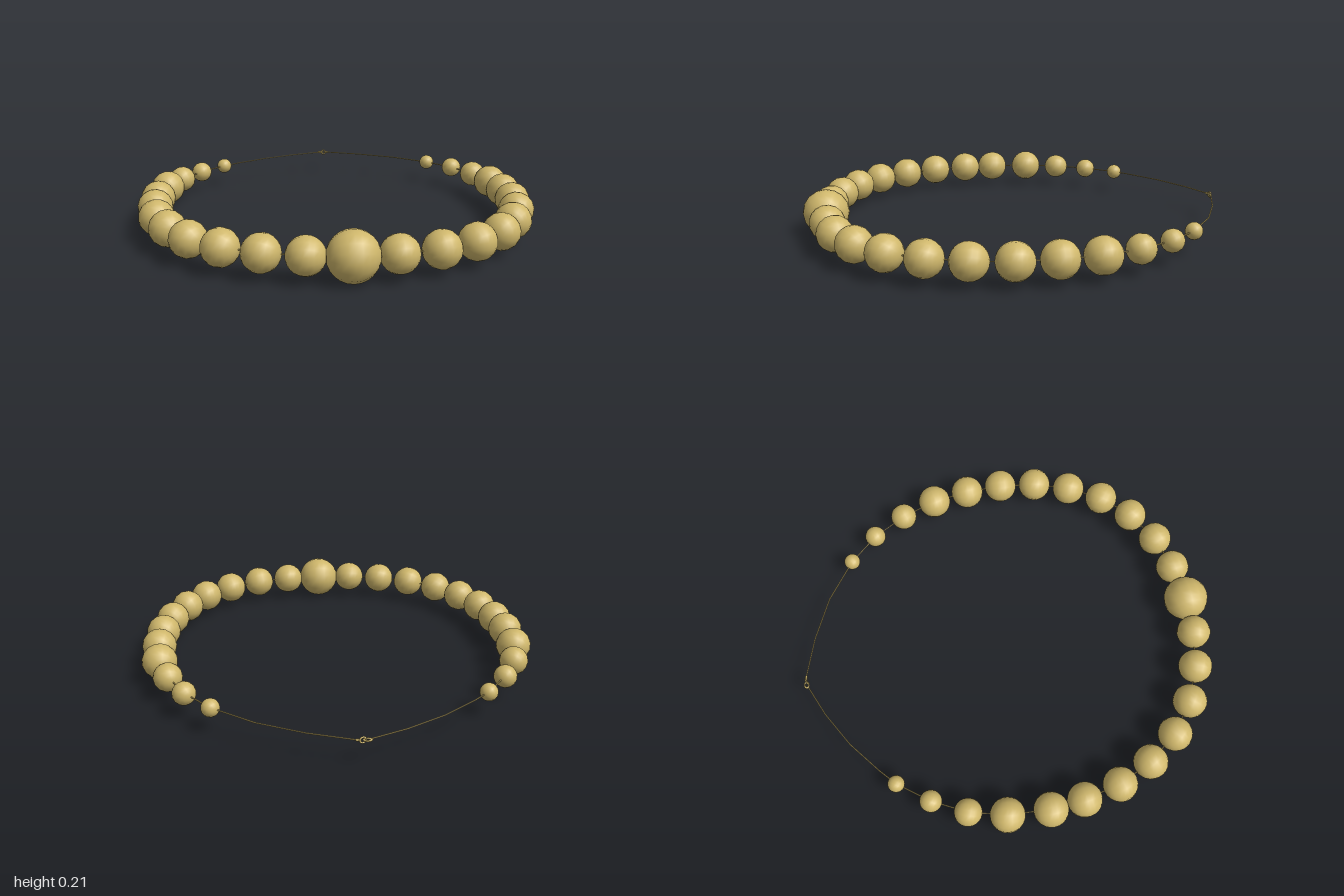
import * as THREE from 'three';

const gold = new THREE.MeshStandardMaterial({ color: 0xcfb76b });
gold.name = 'gold';

const Y = 0.107; // height of the cord

// Bead centres and radii: [x, z, radius], from the front towards the clasp
const R = 0.08;
const leftBeads = [
  [0.196, 0.878, R], [0.365, 0.836, R], [0.522, 0.751, R], [0.65, 0.63, R],
  [0.741, 0.479, R], [0.802, 0.312, R], [0.831, 0.138, R], [0.833, -0.037, R],
  [0.814, -0.212, R], [0.762, -0.381, 0.064], [0.681, -0.54, 0.051], [0.567, -0.676, 0.039],
];
const rightBeads = [
  [-0.16, 0.88, R], [-0.329, 0.837, R], [-0.488, 0.762, R], [-0.624, 0.65, R],
  [-0.725, 0.504, R], [-0.794, 0.342, R], [-0.826, 0.168, R], [-0.836, 0.01, R],
  [-0.818, -0.185, R], [-0.768, -0.355, 0.064], [-0.684, -0.509, 0.051], [-0.574, -0.648, 0.039],
];
const pendantBead = [0.018, 0.894, 0.106];

// Bare cord behind the last beads, up to the clasp
const leftCord = [[0.39, -0.815], [0.2, -0.912], [0.015, -0.98]];
const rightCord = [[-0.5, -0.712], [-0.35, -0.825], [-0.185, -0.916], [-0.035, -0.977]];

const toPoint = ([x, z]) => new THREE.Vector3(x, Y, z);

function add(parent, name, geometry) {
  const mesh = new THREE.Mesh(geometry, gold);
  mesh.name = name;
  parent.add(mesh);
  return mesh;
}

// Straight rod between two points
function rod(parent, name, a, b, radius) {
  const mesh = add(parent, name, new THREE.CylinderGeometry(radius, radius, a.distanceTo(b), 6));
  mesh.position.copy(a).add(b).multiplyScalar(0.5);
  mesh.quaternion.setFromUnitVectors(new THREE.Vector3(0, 1, 0), b.clone().sub(a).normalize());
}

export function createModel() {
  const necklace = new THREE.Group();
  necklace.name = 'necklace';

  // Beads, each with its poles along the cord
  const beads = new THREE.Group();
  beads.name = 'beads';
  const chain = [...rightBeads].reverse().concat([pendantBead], leftBeads);
  chain.forEach((bead, i) => {
    const [x, z, r] = bead;
    const before = toPoint(chain[Math.max(i - 1, 0)]);
    const after = toPoint(chain[Math.min(i + 1, chain.length - 1)]);
    const mesh = add(beads, bead === pendantBead ? 'centreBead' : 'bead', new THREE.SphereGeometry(r, 16, 12));
    mesh.position.set(x, Y, z);
    mesh.quaternion.setFromUnitVectors(new THREE.Vector3(0, 1, 0), after.sub(before).normalize());
  });
  necklace.add(beads);

  // Thin cord strung through the beads
  const cord = new THREE.Group();
  cord.name = 'cord';
  const path = [...rightCord].reverse().concat(chain, leftCord).map(toPoint);
  for (let i = 1; i < path.length; i++) rod(cord, 'cordSegment', path[i - 1], path[i], 0.003);
  necklace.add(cord);

  // Small clasp: a standing ring, a hook loop lying flat and a short bar
  const clasp = new THREE.Group();
  clasp.name = 'clasp';
  clasp.position.set(-0.01, Y, -0.982);
  const ring = add(clasp, 'claspRing', new THREE.TorusGeometry(0.012, 0.004, 6, 14));
  ring.position.x = 0.004;
  ring.rotation.y = 0.25;
  const hook = add(clasp, 'claspHook', new THREE.TorusGeometry(0.01, 0.004, 6, 14));
  hook.rotation.x = Math.PI / 2;
  hook.scale.x = 1.4;
  hook.position.x = -0.014;
  rod(clasp, 'claspBar', new THREE.Vector3(0.01, 0, 0), new THREE.Vector3(0.03, 0, 0.003), 0.005);
  necklace.add(clasp);

  return necklace;
}
